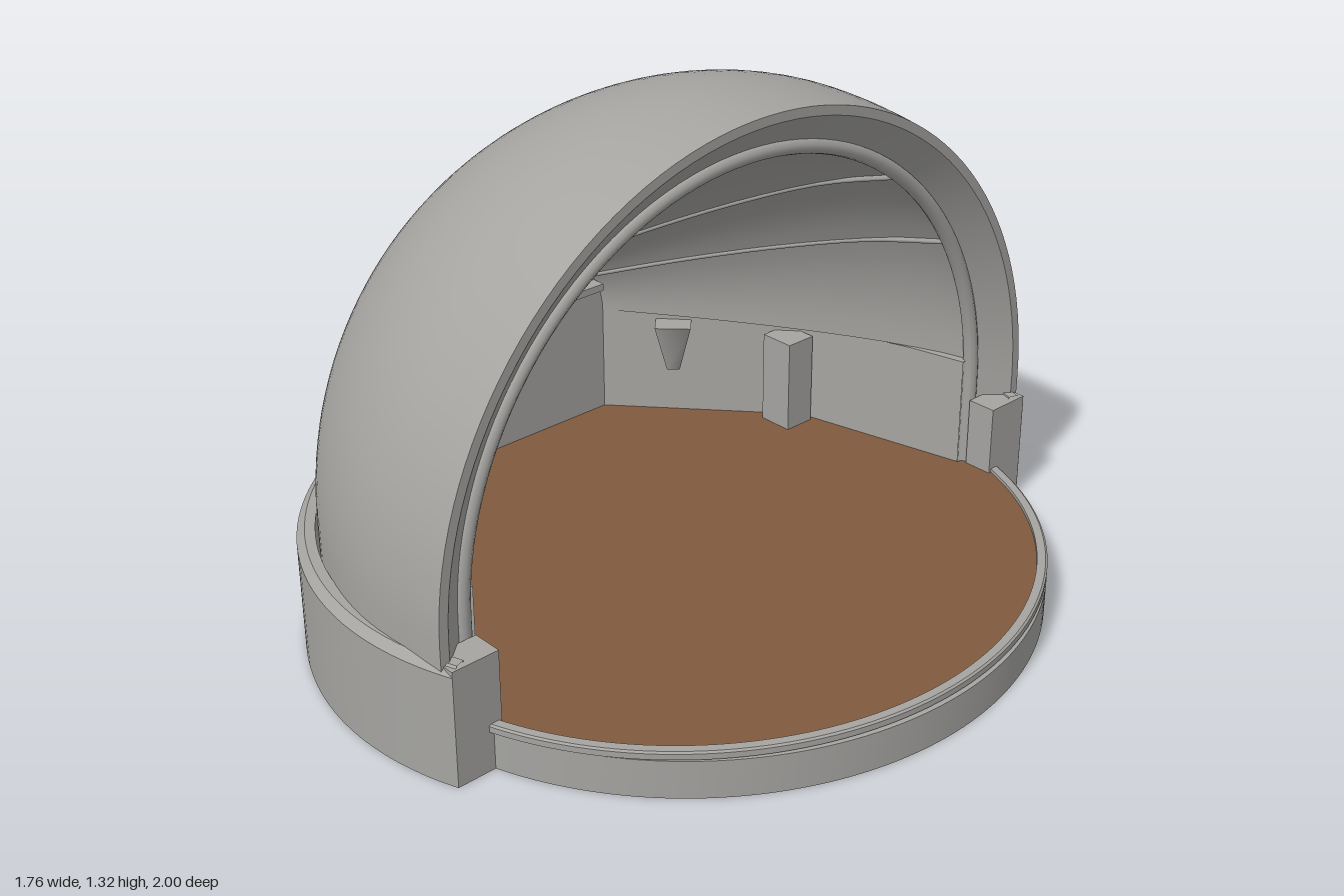
import * as THREE from 'three';

const SPRING = 0.35; // height where the arch sections start to curve

// Smooth surface through a rectangular grid of points: fn(i, j) -> [x, y, z]
function grid(rows, cols, fn) {
  const pos = [], idx = [];
  for (let i = 0; i <= rows; i++) for (let j = 0; j <= cols; j++) pos.push(...fn(i, j));
  for (let i = 0; i < rows; i++) for (let j = 0; j < cols; j++) {
    const a = i * (cols + 1) + j, b = a + cols + 1;
    idx.push(a, b, a + 1, b, b + 1, a + 1);
  }
  const g = new THREE.BufferGeometry();
  g.setAttribute('position', new THREE.Float32BufferAttribute(pos, 3));
  g.setIndex(idx);
  g.computeVertexNormals();
  return g;
}

// Half-round arch sections [x, radius] with straight legs down to y0
function archSurface(profile, y0) {
  const n = 64;
  return grid(profile.length - 1, n + 2, (i, j) => {
    const [x, r] = profile[i];
    if (j === 0) return [x, y0, r];
    if (j === n + 2) return [x, y0, -r];
    const a = Math.PI * (j - 1) / n;
    return [x, SPRING + r * Math.sin(a), r * Math.cos(a)];
  });
}

// One flat-sided strip of an elliptical band between two [offset, y] points
function bandStrip(a, b, from, to, p, q) {
  return grid(1, 80, (i, j) => {
    const [d, y] = i ? q : p, t = from + (to - from) * j / 80;
    return [(a + d) * Math.cos(t), y, (b + d) * Math.sin(t)];
  });
}

export function createModel() {
  const model = new THREE.Group();
  const grey = new THREE.MeshStandardMaterial({ color: 0xa5a4a1, side: THREE.DoubleSide });
  grey.name = 'concrete grey';
  const brown = new THREE.MeshStandardMaterial({ color: 0x80593f, side: THREE.DoubleSide });
  brown.name = 'wood brown';
  const add = (name, geometry, material = grey, x = 0, y = 0, z = 0) => {
    const m = new THREE.Mesh(geometry, material);
    m.name = name;
    m.position.set(x, y, z);
    model.add(m);
    return m;
  };
  const band = (name, a, b, from, to, profile) => {
    for (let k = 0; k < profile.length - 1; k++)
      add(name, bandStrip(a, b, from, to, profile[k], profile[k + 1]));
  };

  // Outer dome, cut open at the front of the stage
  const dome = [];
  for (let i = 0; i <= 40; i++) {
    const u = Math.cos(Math.PI / 2 * i / 40);
    dome.push([0.05 - 0.92 * u, 0.97 * Math.pow(Math.max(0, 1 - Math.pow(u, 1.9)), 1 / 1.9)]);
  }
  for (const x of [0.1, 0.15, 0.2, 0.25])
    dome.push([x, 0.97 * Math.sqrt(1 - ((x - 0.05) / 1.1) ** 2)]);
  add('dome', archSurface(dome, 0.27));

  // Rim face, slanted soffit and round trim of the opening
  add('openingEdge', archSurface([[0.25, 0.954], [0.25, 0.93]], 0.28));
  add('openingSoffit', archSurface([[0.25, 0.93], [0.18, 0.85]], 0.28));
  add('archTrim', new THREE.TorusGeometry(0.842, 0.02, 10, 64, Math.PI).rotateY(Math.PI / 2), grey, 0.18, SPRING, 0);
  for (const s of [1, -1])
    add('archTrimLeg', new THREE.CylinderGeometry(0.02, 0.02, 0.25, 10), grey, 0.18, 0.225, s * 0.842);

  // Base wall with end piers
  const cut = Math.acos(0.28 / 0.88);
  band('baseWall', 0.88, 1.0, cut, 2 * Math.PI - cut,
    [[0, 0], [0, 0.285], [-0.02, 0.305], [-0.045, 0.305], [-0.045, 0], [0, 0]]);
  for (const s of [1, -1])
    add('endPier', new THREE.BoxGeometry(0.08, 0.3, 0.125), grey, 0.24, 0.15, s * 0.885);

  // Stage front and raised lip
  const open = Math.acos(0.2 / 0.88);
  band('stageFront', 0.88, 0.892, -open, open, [[0, 0], [0, 0.098], [-0.02, 0.1]]);
  band('stageLip', 0.872, 0.906, -open, open, [[-0.012, 0.1], [0, 0.103], [0, 0.118], [-0.005, 0.122], [-0.026, 0.122], [-0.026, 0.1]]);

  // Stage floor: rounded front, angled back
  const wall = [[0.18, 0.81], [-0.3, 0.7], [-0.72, 0.33]];
  const outline = [];
  for (let i = 0; i <= 48; i++) {
    const t = -open + 2 * open * i / 48;
    outline.push(new THREE.Vector2(0.855 * Math.cos(t), 0.888 * Math.sin(t)));
  }
  for (const [x, z] of wall) outline.push(new THREE.Vector2(x, z));
  for (const [x, z] of [...wall].reverse()) outline.push(new THREE.Vector2(x, -z));
  add('stageFloor', new THREE.ShapeGeometry(new THREE.Shape(outline)).rotateX(-Math.PI / 2), brown, 0, 0.112, 0);

  // Walls around the back of the stage
  const path = [...wall, ...[...wall].reverse().map(([x, z]) => [x, -z])];
  for (let k = 0; k < path.length - 1; k++)
    add('stageWall', grid(1, 1, (i, j) => {
      const [x, z] = path[k + j];
      return [x, i ? 0.41 : 0.1, z];
    }));

  // Fan-shaped lining, narrowing from the arch to the back
  const lining = (a, t, inset = 0) => {
    const s = Math.pow(t, 1.3), lerp = THREE.MathUtils.lerp;
    return [0.18 - 0.9 * t,
      0.41 + (lerp(0.775, 0.25, s) - inset) * Math.sin(a),
      (lerp(0.835, 0.33, s) - inset) * Math.cos(a)];
  };
  const creases = [0, 28, 50, 72, 90, 108, 130, 152, 180].map(THREE.MathUtils.degToRad);
  const panel = (k, t1, inset) => grid(12, 6, (i, j) =>
    lining(THREE.MathUtils.lerp(creases[k], creases[k + 1], j / 6), t1 * i / 12, inset));
  for (let k = 0; k < 8; k++) {
    add('liningPanel', panel(k, 1, 0));
    if (k === 0) continue;
    const pts = [0, 0.25, 0.5, 0.75, 1].map(t => new THREE.Vector3(...lining(creases[k], t)));
    add('liningRib', new THREE.TubeGeometry(new THREE.CatmullRomCurve3(pts), 16, 0.007, 5));
  }
  add('woodCeilingPanel', panel(4, 0.2, 0.008), brown);

  // Ledge joining the lining to the walls
  for (const s of [1, -1])
    add('wallLedge', grid(12, 1, (i, j) => {
      const [x, y, z] = lining(0, i / 12);
      const [p, q] = x > -0.3 ? [wall[0], wall[1]] : [wall[1], wall[2]];
      const zw = p[1] + (q[1] - p[1]) * (x - p[0]) / (q[0] - p[0]);
      return [x, y, s * (j ? zw : z)];
    }));

  // Back panel closing the lining, with a sill
  const back = new THREE.Shape();
  back.absellipse(0, 0, 0.33, 0.25, 0, Math.PI, false);
  add('backPanel', new THREE.ShapeGeometry(back, 24).rotateY(Math.PI / 2), grey, -0.72, 0.41, 0);
  add('backSill', new THREE.BoxGeometry(0.04, 0.02, 0.6), grey, -0.7, 0.5, 0);

  // Side doorways and a wall bracket
  for (const s of [1, -1])
    add('sideDoorway', new THREE.BoxGeometry(0.1, 0.26, 0.09), grey, -0.31, 0.24, s * 0.65);
  add('wallBracket', new THREE.CylinderGeometry(0.07, 0.025, 0.14, 4), grey, -0.56, 0.32, -0.45);

  return model;
}
